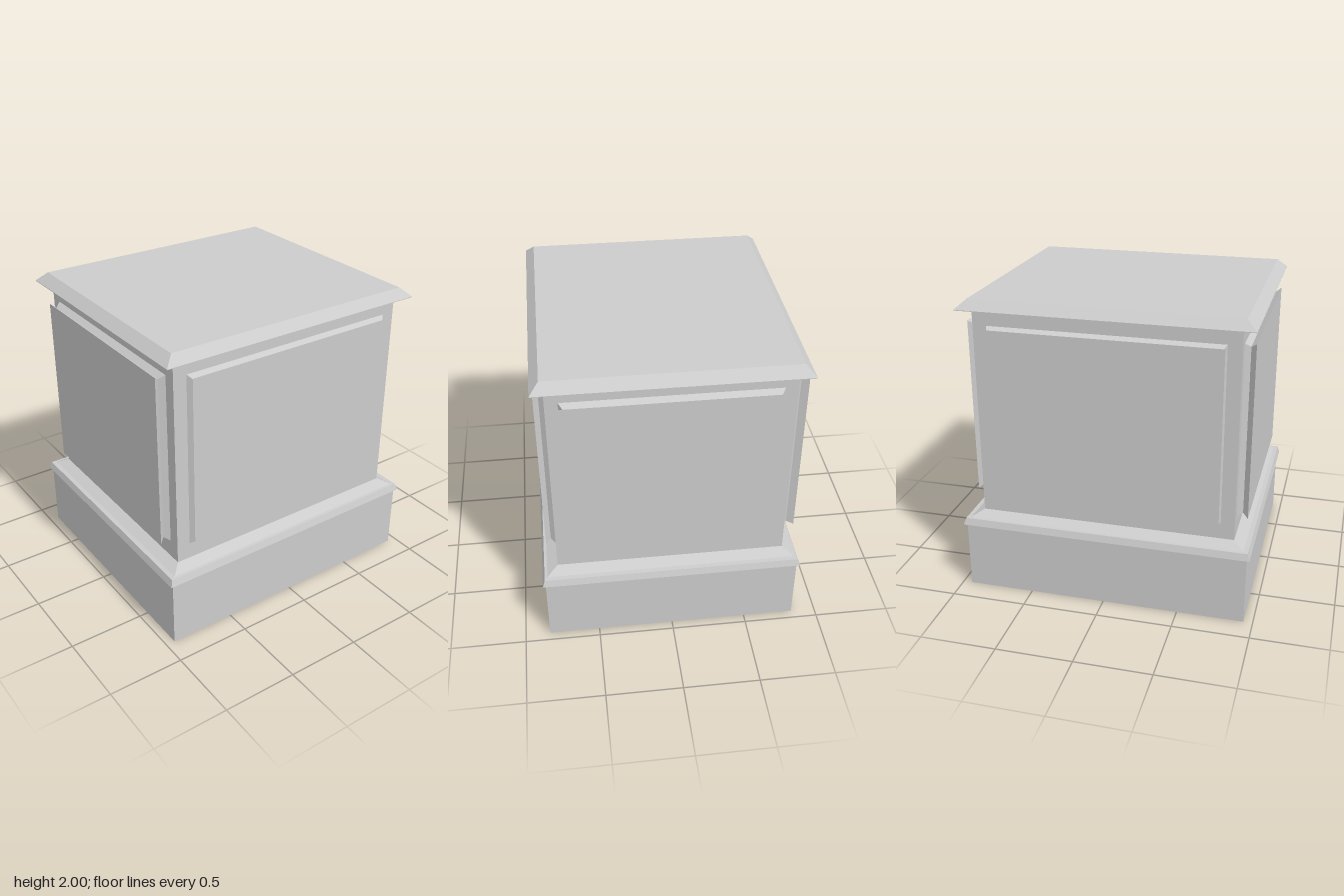
import * as THREE from 'three';

const material = new THREE.MeshStandardMaterial({ color: 0xcccccc, flatShading: true });

// Stack of rectangular rings [half width, half height, depth] lofted along +z, closed at both ends
function loftRectangles(rings) {
  const loops = rings.map(([w, h, d]) => [[-w, -h, d], [w, -h, d], [w, h, d], [-w, h, d]]);
  const positions = [];
  const quad = (a, b, c, d) => positions.push(...a, ...b, ...c, ...a, ...c, ...d);
  for (let k = 0; k < loops.length - 1; k++) {
    for (let i = 0; i < 4; i++) {
      const j = (i + 1) % 4;
      quad(loops[k][i], loops[k][j], loops[k + 1][j], loops[k + 1][i]);
    }
  }
  quad(...loops[0].slice().reverse());
  quad(...loops[loops.length - 1]);
  const geometry = new THREE.BufferGeometry();
  geometry.setAttribute('position', new THREE.Float32BufferAttribute(positions, 3));
  geometry.computeVertexNormals();
  return geometry;
}

export function createModel() {
  const model = new THREE.Group();
  model.name = 'pedestal';

  const add = (name, rings) => {
    const mesh = new THREE.Mesh(loftRectangles(rings), material);
    mesh.name = name;
    model.add(mesh);
    return mesh;
  };

  // Upright parts: rings are [half x, half z, height]
  const addUpright = (name, rings) => {
    add(name, rings).rotation.x = -Math.PI / 2;
  };

  // Plinth, with the base moulding sloping in to the body
  addUpright('plinth', [
    [0.94, 0.836, 0],
    [0.94, 0.836, 0.452],
    [0.96, 0.854, 0.459],
    [0.945, 0.839, 0.504],
    [0.915, 0.82, 0.506],
    [0.845, 0.75, 0.541],
  ]);

  // Plain body
  addUpright('body', [
    [0.845, 0.75, 0.541],
    [0.845, 0.75, 1.925],
  ]);

  // Cap slab with a bevelled rim
  addUpright('cap', [
    [0.845, 0.75, 1.922],
    [0.93, 0.828, 1.937],
    [0.93, 0.828, 1.941],
    [0.865, 0.77, 2],
  ]);

  // Raised panels, pinched at mid depth: [name, half width, turn, wall, waist, face, half height]
  const panels = [
    ['frontPanel', 0.755, 0, 0.75, 0.782, 0.815, 0.59],
    ['backPanel', 0.755, Math.PI, 0.75, 0.792, 0.84, 0.59],
    ['leftPanel', 0.67, Math.PI / 2, 0.845, 0.88, 0.915, 0.59],
    ['rightPanel', 0.67, -Math.PI / 2, 0.845, 0.88, 0.915, 0.58],
  ];
  for (const [name, w, turn, wall, waist, face, h] of panels) {
    const inset = name === 'backPanel' ? 0.016 : 0.026;
    const panel = add(name, [
      [w, h, wall],
      [w - inset, h - inset, waist],
      [w, h, face],
    ]);
    panel.position.y = 1.24;
    panel.rotation.y = turn;
  }

  return model;
}
